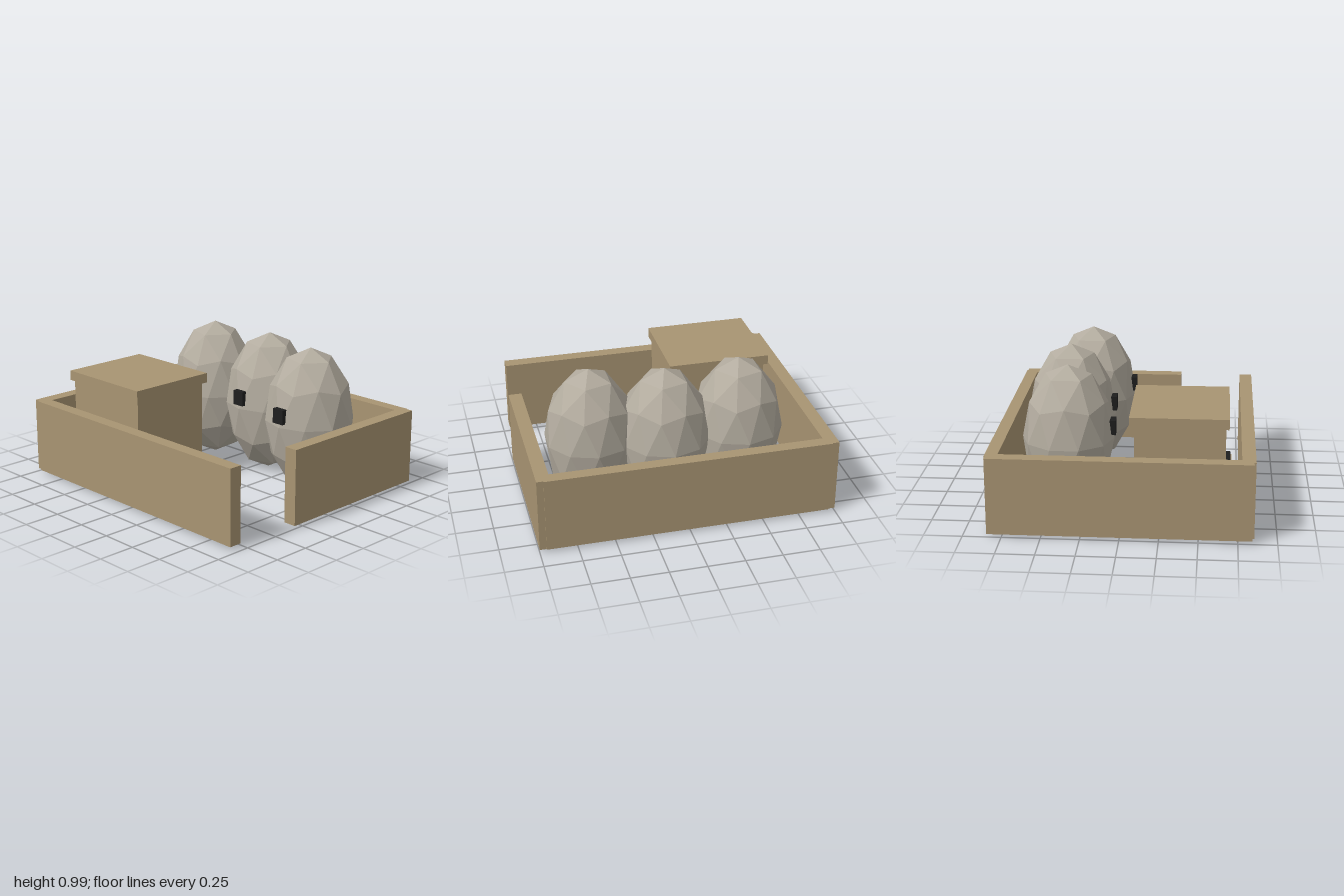
import * as THREE from 'three';

export function createModel() {
  const model = new THREE.Group();
  const mat = (name, color) => {
    const m = new THREE.MeshStandardMaterial({ color, flatShading: true });
    m.name = name;
    return m;
  };
  const sand = mat('sandstone', 0xa89472);
  const stone = mat('paleStone', 0xb3ac9f);
  const black = mat('black', 0x1e1e1e);

  // Box given by its extents on each axis
  const box = (name, material, [x0, x1], [y0, y1], [z0, z1], parent = model) => {
    const mesh = new THREE.Mesh(new THREE.BoxGeometry(x1 - x0, y1 - y0, z1 - z0), material);
    mesh.position.set((x0 + x1) / 2, (y0 + y1) / 2, (z0 + z1) / 2);
    mesh.name = name;
    parent.add(mesh);
    return mesh;
  };

  // Enclosure walls, with an opening at the front left corner
  const wallY = [0.02, 0.53];
  box('rightWall', sand, [-1, -0.91], wallY, [-0.845, 0.84]);
  box('leftWall', sand, [0.91, 1], wallY, [-0.845, 0.325]);
  box('backWall', sand, [-0.955, 0.955], wallY, [-0.853, -0.77]);
  box('frontWall', sand, [-0.955, 0.953], wallY, [0.765, 0.853]);

  // Square hut with an overhanging slab roof
  const hut = new THREE.Group();
  hut.name = 'hut';
  model.add(hut);
  box('hutBody', sand, [-0.775, -0.11], [0.02, 0.685], [0.08, 0.663], hut);
  box('hutRoof', sand, [-0.797, -0.09], [0.685, 0.752], [0.05, 0.683], hut);
  box('doorFrame', black, [-0.537, -0.35], [0.02, 0.385], [0.655, 0.695], hut);
  box('doorPanel', sand, [-0.525, -0.37], [0.025, 0.37], [0.693, 0.702], hut);
  box('doorHandle', black, [-0.397, -0.373], [0.17, 0.197], [0.7, 0.715], hut);

  // Faceted domes, standing on an icosahedron vertex, each with a small window
  const domeGeometry = new THREE.IcosahedronGeometry(1, 1);
  domeGeometry.rotateZ(-Math.atan(2 / (1 + Math.sqrt(5))));
  domeGeometry.scale(0.305, 0.495, 0.305);
  [[-0.443, -0.374], [0.07, -0.407], [0.55, -0.299]].forEach(([x, z], i) => {
    const pod = new THREE.Group();
    pod.name = `pod${i + 1}`;
    pod.position.set(x, 0, z);
    model.add(pod);
    const dome = new THREE.Mesh(domeGeometry, stone);
    dome.name = 'dome';
    dome.position.y = 0.495;
    pod.add(dome);
    box('window', black, [-0.044, 0.044], [0.525, 0.625], [0.25, 0.315], pod);
  });

  return model;
}
